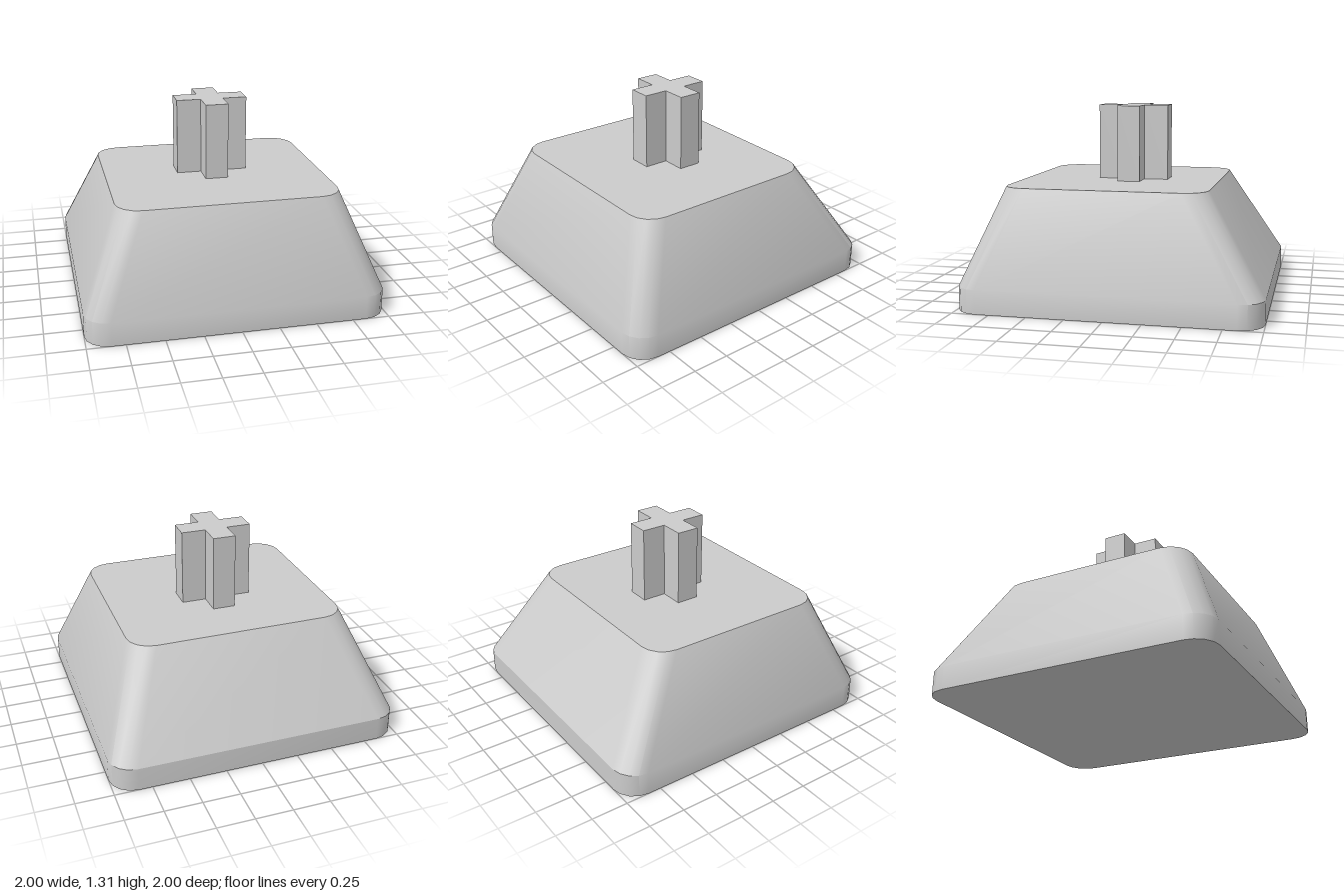
import * as THREE from 'three';
import { toCreasedNormals } from 'three/addons/utils/BufferGeometryUtils.js';

const CORNER_STEPS = 4;

// Horizontal rounded rectangle, listed from +x towards +z
function roundedRing(y, halfX, zBack, zFront, r) {
  const corners = [
    [halfX - r, zFront - r], [-halfX + r, zFront - r],
    [-halfX + r, zBack + r], [halfX - r, zBack + r],
  ];
  const ring = [];
  corners.forEach(([cx, cz], k) => {
    for (let i = 0; i <= CORNER_STEPS; i++) {
      const a = (k + i / CORNER_STEPS) * Math.PI / 2;
      ring.push([cx + r * Math.cos(a), y, cz + r * Math.sin(a)]);
    }
  });
  return ring;
}

// Skin stacked rings and close both ends
function loft(rings) {
  const n = rings[0].length;
  const index = [];
  for (let k = 0; k < rings.length - 1; k++) {
    for (let i = 0; i < n; i++) {
      const a = k * n + i, b = k * n + (i + 1) % n;
      index.push(a, a + n, b, b, a + n, b + n);
    }
  }
  const last = (rings.length - 1) * n;
  for (let i = 1; i < n - 1; i++) {
    index.push(0, i, i + 1);
    index.push(last, last + i + 1, last + i);
  }
  const geometry = new THREE.BufferGeometry();
  geometry.setAttribute('position', new THREE.Float32BufferAttribute(rings.flat(2), 3));
  geometry.setIndex(index);
  return toCreasedNormals(geometry, THREE.MathUtils.degToRad(30));
}

export function createModel() {
  const group = new THREE.Group();
  const material = new THREE.MeshStandardMaterial({ color: 0xcccccc });

  // Body: short upright rim, then sloping sides with a longer slope at the back
  const body = new THREE.Mesh(loft([
    roundedRing(0, 1, -1, 1, 0.16),
    roundedRing(0.16, 1, -1, 1, 0.16),
    roundedRing(0.79, 0.75, -0.61, 0.75, 0.16),
  ]), material);
  body.name = 'keycapBody';
  group.add(body);

  // Stem: upright cross standing on the body
  const L = 0.245, w = 0.078;
  const cross = new THREE.Shape([
    [L, -w], [L, w], [w, w], [w, L], [-w, L], [-w, w],
    [-L, w], [-L, -w], [-w, -w], [-w, -L], [w, -L], [w, -w],
  ].map(([x, y]) => new THREE.Vector2(x, y)));
  const stemGeometry = new THREE.ExtrudeGeometry(cross, { depth: 0.52, bevelEnabled: false });
  stemGeometry.rotateX(-Math.PI / 2);
  const stem = new THREE.Mesh(stemGeometry, material);
  stem.name = 'crossStem';
  stem.position.y = 0.79;
  group.add(stem);

  return group;
}
